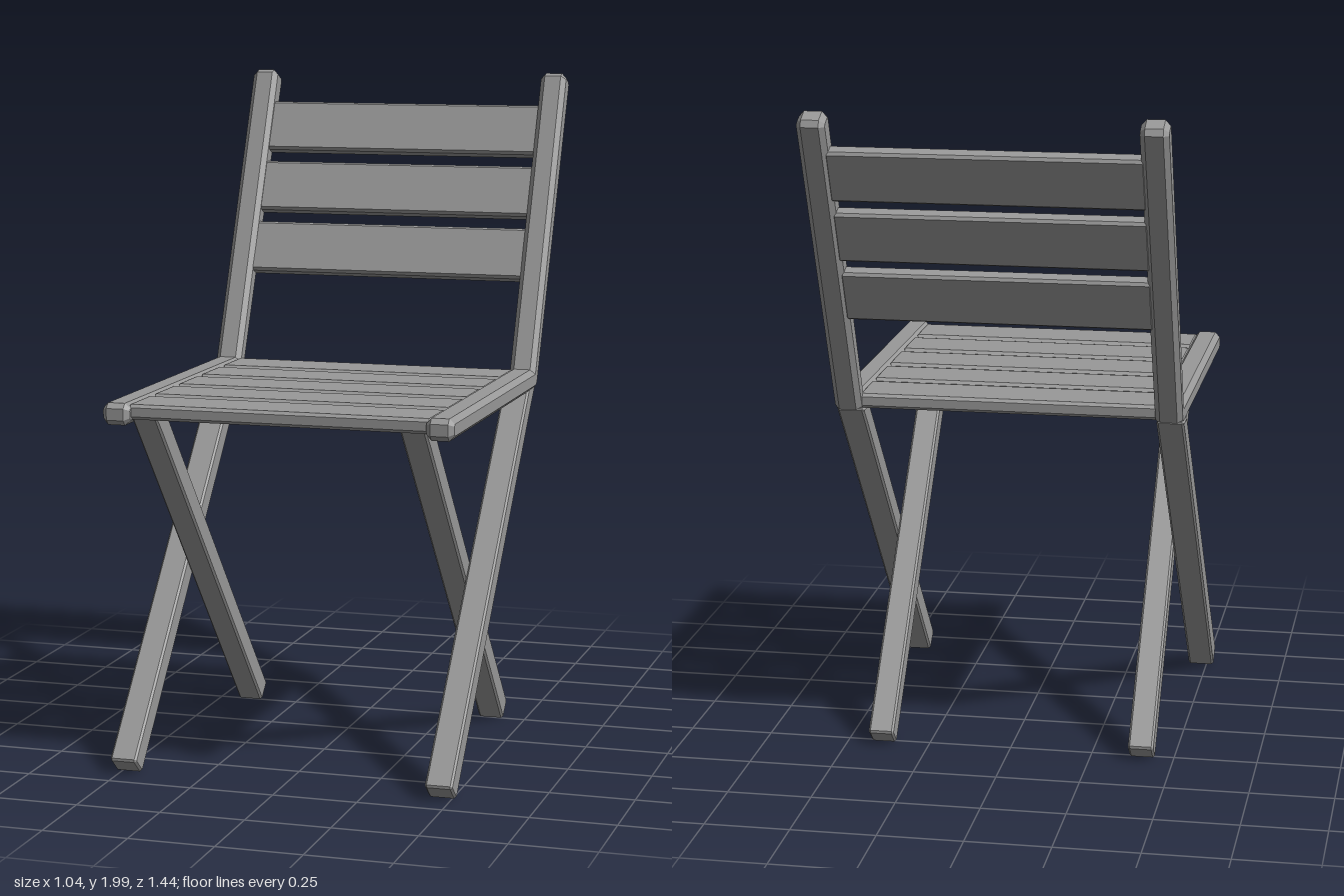
import * as THREE from 'three';

const material = new THREE.MeshStandardMaterial({ color: 0x999999, flatShading: true });

// Cut every outward corner of a counter-clockwise outline by the given length.
function cutCorners(points, cut) {
  return points.flatMap((p, i) => {
    const before = points.at(i - 1).clone().sub(p).normalize();
    const after = points[(i + 1) % points.length].clone().sub(p).normalize();
    if (after.cross(before) < 0) return [p];
    return [before, after].map((d) => p.clone().addScaledVector(d, cut));
  });
}

// Bar chamfered on all edges: a clockwise outline of [z, y] points, extruded along x.
function bar(name, outline, centreX, width, bevel) {
  const points = outline.map(([z, y]) => new THREE.Vector2(-z, y));
  if (THREE.ShapeUtils.isClockWise(points)) points.reverse();
  const geometry = new THREE.ExtrudeGeometry(new THREE.Shape(cutCorners(points, bevel)), {
    depth: width - 2 * bevel,
    bevelEnabled: true,
    bevelThickness: bevel,
    bevelSize: bevel,
    bevelOffset: -bevel,
    bevelSegments: 1,
  });
  geometry.translate(0, 0, bevel - width / 2);
  geometry.rotateY(Math.PI / 2);
  geometry.translate(centreX, 0, 0);
  const mesh = new THREE.Mesh(geometry, material);
  mesh.name = name;
  return mesh;
}

// Rectangle outline centred at (z, y), long axis tilted back by the given angle.
function plank(z, y, length, thickness, tilt) {
  const s = Math.sin(tilt), c = Math.cos(tilt);
  return [[-1, -1], [1, -1], [1, 1], [-1, 1]].map(([a, b]) => {
    const u = (a * thickness) / 2, v = (b * length) / 2;
    return [z + u * c - v * s, y + u * s + v * c];
  });
}

export function createModel() {
  const chair = new THREE.Group();
  chair.name = 'foldingChair';

  // Seat rail and back post, mitred together
  const frame = [
    [0.723, 1.044], [-0.303, 1.044], [-0.724, 1.97],
    [-0.656, 2.003], [-0.265, 1.108], [0.723, 1.108],
  ];
  // Crossed legs, cut flat beneath the seat
  const outerLeg = [[0.63, 0], [0.685, 0.047], [-0.23, 1.06], [-0.313, 1.06]];
  const innerLeg = [[-0.255, 0], [-0.305, 0.047], [0.595, 1.065], [0.686, 1.065]];

  for (const [side, sign] of [['left', 1], ['right', -1]]) {
    chair.add(
      bar(side + 'SeatRailAndBackPost', frame, sign * 0.478, 0.081, 0.015),
      bar(side + 'OuterLeg', outerLeg, sign * 0.476 - 0.006, 0.081, 0.006),
      bar(side + 'InnerLeg', innerLeg, sign * 0.398 - 0.006, 0.077, 0.006),
    );
  }

  // Seat slats
  for (let i = 0; i < 5; i++) {
    const z = -0.207 + i * 0.2043;
    chair.add(bar('seatSlat' + (i + 1), plank(z, 1.081, 0.044, 0.173, 0), 0, 0.9, 0.009));
  }

  // Back slats, leaning with the posts
  const lean = Math.atan2(0.41, 0.91);
  for (let i = 0; i < 3; i++) {
    const y = 1.44 + i * 0.187;
    const z = -0.451 - i * 0.0845;
    chair.add(bar('backSlat' + (i + 1), plank(z, y, 0.165, 0.045, lean), 0, 0.9, 0.008));
  }
  return chair;
}
